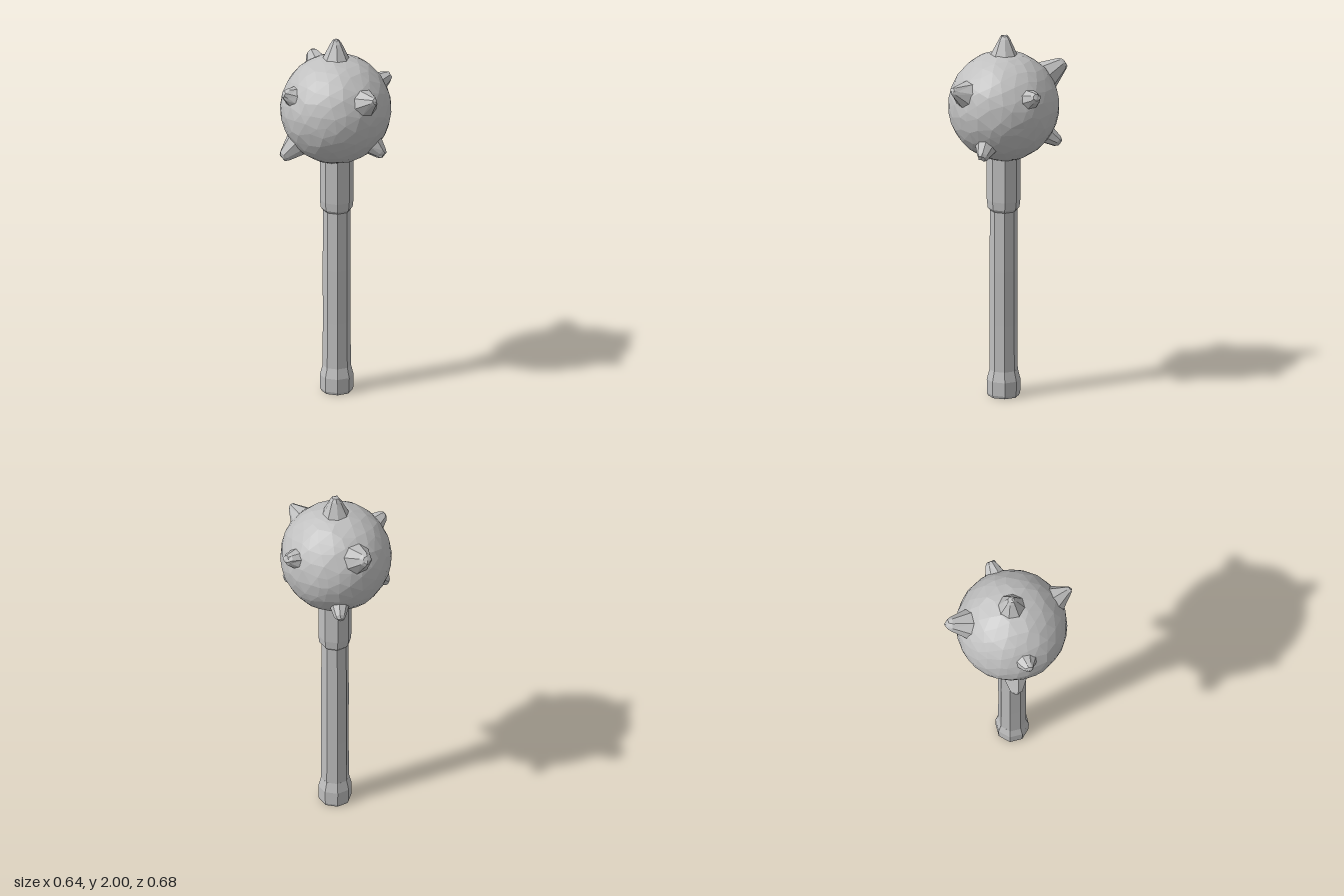
import * as THREE from 'three';

const CENTER = new THREE.Vector3(-0.01, 1.608, -0.01);
const RADIUS = 0.298;

// Small repeatable offset in -1..1, equal for coincident corners
function noise(x, y, z, seed) {
  const q = (v) => Math.round(v * 1000);
  const s = Math.sin(q(x) * 0.129 + q(y) * 0.782 + q(z) * 0.377 + seed * 4.1) * 4375.85;
  return (s - Math.floor(s)) * 2 - 1;
}

// Shift vertices slightly for a hand-hewn surface
function roughen(geometry, amount) {
  const p = geometry.attributes.position;
  for (let i = 0; i < p.count; i++) {
    const [x, y, z] = [p.getX(i), p.getY(i), p.getZ(i)];
    p.setXYZ(i,
      x + noise(x, y, z, 1) * amount,
      y + noise(x, y, z, 2) * amount,
      z + noise(x, y, z, 3) * amount);
  }
  geometry.computeVertexNormals();
  return geometry;
}

function lathe(profile, sides) {
  return new THREE.LatheGeometry(profile.map(([r, y]) => new THREE.Vector2(r, y)), sides);
}

export function createModel() {
  const group = new THREE.Group();
  const iron = new THREE.MeshStandardMaterial({ color: 0xc0c0c0, flatShading: true });
  iron.name = 'light iron grey';

  function add(name, geometry) {
    const mesh = new THREE.Mesh(geometry, iron);
    mesh.name = name;
    group.add(mesh);
    return mesh;
  }

  // Octagonal handle parts: pommel, shaft and collar
  const handleParts = {
    pommel: [[0, 0], [0.083, 0], [0.089, 0.015], [0.09, 0.09], [0.076, 0.145], [0, 0.145]],
    shaft: [[0.076, 0.12], [0.074, 0.4], [0.075, 0.7], [0.073, 1.05]],
    collar: [[0, 1.03], [0.073, 1.03], [0.085, 1.045], [0.09, 1.09], [0.09, 1.36]],
  };
  for (const [name, profile] of Object.entries(handleParts)) {
    add(name, lathe(profile, 8)).position.set(-0.008, 0, -0.006);
  }

  // Faceted ball head, its vertices slid about and put back near the sphere
  const ball = roughen(new THREE.IcosahedronGeometry(RADIUS, 4), 0.015);
  const p = ball.attributes.position;
  const v = new THREE.Vector3();
  for (let i = 0; i < p.count; i++) {
    v.fromBufferAttribute(p, i);
    v.setLength(RADIUS + (v.length() - RADIUS) * 0.12);
    p.setXYZ(i, v.x, v.y, v.z);
  }
  ball.computeVertexNormals();
  add('ballHead', ball).position.copy(CENTER);

  // Blunt spikes: tip position, base radius, tip radius
  const spikes = [
    ['topSpike', [-0.007, 2.0, -0.011], 0.072, 0.03],
    ['frontSpike', [-0.08, 1.755, 0.335], 0.073, 0.026],
    ['leftSpike', [0.312, 1.735, 0.09], 0.057, 0.033],
    ['backSpike', [0.148, 1.81, -0.328], 0.079, 0.036],
    ['rightSpike', [-0.312, 1.75, -0.118], 0.058, 0.031],
    ['lowerRightSpike', [-0.265, 1.355, -0.17], 0.068, 0.034],
    ['lowerBackSpike', [0.22, 1.4, -0.205], 0.053, 0.032],
    ['lowerFrontSpike', [0.07, 1.385, 0.265], 0.06, 0.034],
  ];
  const up = new THREE.Vector3(0, 1, 0);
  for (const [name, tip, base, end] of spikes) {
    const direction = new THREE.Vector3(...tip).sub(CENTER);
    const length = direction.length();
    const spike = add(name, roughen(lathe([
      [base * 1.03, RADIUS - 0.035],
      [base, RADIUS - 0.012],
      [end, length - 0.02],
      [end * 0.6, length - 0.004],
      [0, length],
    ], 8), 0.003));
    spike.position.copy(CENTER);
    spike.quaternion.setFromUnitVectors(up, direction.normalize());
  }
  return group;
}
